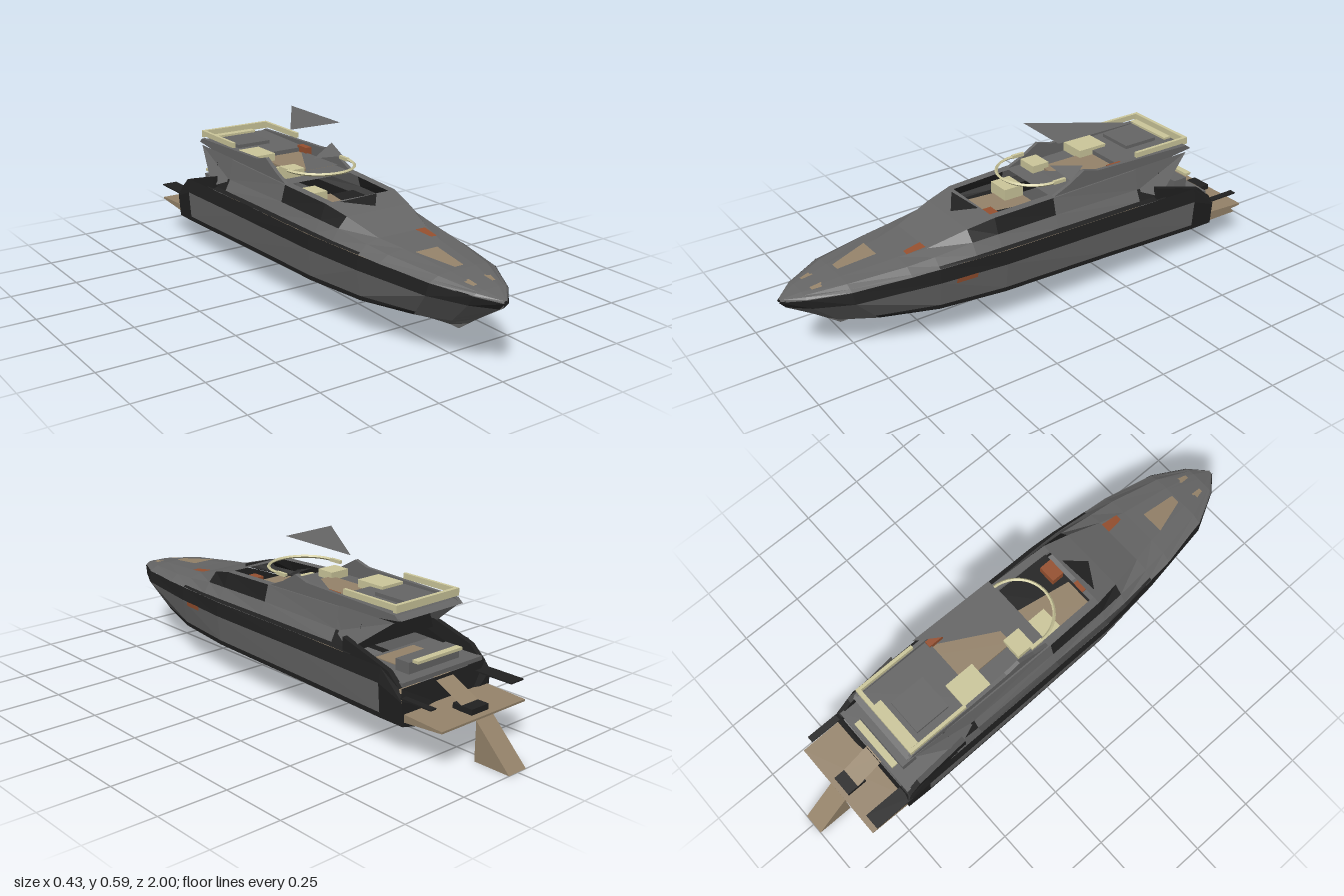
import * as THREE from 'three';

const paint = (name, color) => new THREE.MeshStandardMaterial({ name, color, flatShading: true, side: THREE.DoubleSide });
const grey = paint('grey shell', 0x666666);
const black = paint('black trim', 0x212121);
const tan = paint('tan teak', 0x95836a);
const cream = paint('cream upholstery', 0xccc79b);
const rust = paint('rust wood', 0x96502f);

// Mirrored skin over stations (bow to stern); pick(strip, station) gives the material or null for an opening
function loft(name, stations, pick) {
  const group = new THREE.Group();
  group.name = name;
  const buckets = new Map();
  for (let i = 0; i < stations.length - 1; i++) {
    for (let j = 0; j < stations[i].length - 1; j++) {
      const mat = pick(j, i);
      if (!mat) continue;
      if (!buckets.has(mat)) buckets.set(mat, []);
      const out = buckets.get(mat);
      const a = stations[i][j], b = stations[i + 1][j], c = stations[i][j + 1], d = stations[i + 1][j + 1];
      for (const p of [a, b, c, b, d, c]) out.push(...p);
      for (const p of [a, c, b, b, c, d]) out.push(-p[0], p[1], p[2]);
    }
  }
  for (const [mat, pos] of buckets) {
    const geo = new THREE.BufferGeometry();
    geo.setAttribute('position', new THREE.Float32BufferAttribute(pos, 3));
    geo.computeVertexNormals();
    const mesh = new THREE.Mesh(geo, mat);
    mesh.name = name + ' ' + mat.name;
    group.add(mesh);
  }
  return group;
}

// Flat convex polygon through a few 3D corners
function plate(name, mat, pts) {
  const pos = [];
  for (let i = 1; i < pts.length - 1; i++) pos.push(...pts[0], ...pts[i], ...pts[i + 1]);
  const geo = new THREE.BufferGeometry();
  geo.setAttribute('position', new THREE.Float32BufferAttribute(pos, 3));
  geo.computeVertexNormals();
  const mesh = new THREE.Mesh(geo, mat);
  mesh.name = name;
  return mesh;
}

// Box from its minimum and maximum corners
function box(name, mat, x0, x1, y0, y1, z0, z1) {
  const mesh = new THREE.Mesh(new THREE.BoxGeometry(x1 - x0, y1 - y0, z1 - z0), mat);
  mesh.position.set((x0 + x1) / 2, (y0 + y1) / 2, (z0 + z1) / 2);
  mesh.name = name;
  return mesh;
}

// Side profile of [z, y] points, extruded across x
function prism(name, mat, pts, x0, x1) {
  const shape = new THREE.Shape(pts.map(([z, y]) => new THREE.Vector2(-z, y)));
  const geo = new THREE.ExtrudeGeometry(shape, { depth: x1 - x0, bevelEnabled: false });
  geo.rotateY(Math.PI / 2);
  geo.translate(x0, 0, 0);
  const mesh = new THREE.Mesh(geo, mat);
  mesh.name = name;
  return mesh;
}

export function createModel() {
  const yacht = new THREE.Group();
  yacht.name = 'motor yacht';
  const add = (...m) => yacht.add(...m);

  // Hull: keel flat, chine, knuckle and sheer at each station
  const frames = [
    [[0, .10, .79], [0, .165, .88], [.008, .235, .985], [.008, .255, 1]],
    [[0, .10, .75], [.055, .15, .82], [.078, .243, .92], [.07, .27, .93]],
    [[.02, .098, .66], [.11, .142, .7], [.145, .25, .8], [.135, .285, .8]],
    [[.05, .097, .5], [.17, .135, .5], [.192, .252, .5], [.185, .295, .5]],
    [[.07, .093, .25], [.197, .13, .25], [.213, .252, .25], [.207, .297, .25]],
    [[.08, .085, -.2], [.206, .125, -.2], [.218, .25, -.2], [.21, .295, -.2]],
    [[.085, .071, -.6], [.208, .114, -.6], [.218, .243, -.6], [.21, .288, -.6]],
    [[.085, .085, -.7], [.205, .112, -.7], [.212, .2, -.7], [.205, .235, -.68]],
  ];
  const mix = (a, b, t) => a.map((v, k) => v + (b[k] - v) * t);
  const hull = frames.map(([k, c, n, s]) =>
    [[0, k[1], k[2]], k, mix(k, c, .5), c, mix(c, n, .14), mix(c, n, .94), s]);
  add(loft('hull', hull, (j, i) => {
    if (j < 3) return i >= 4 && i < 6 && j < 2 ? tan : grey;
    if (j === 3) return i >= 2 ? black : grey;
    if (j === 5) return black;
    return i === 6 ? black : grey;
  }));
  add(plate('transom', black, [[-.085, .085, -.7], [.085, .085, -.7], [.205, .112, -.7],
    [.212, .2, -.7], [.2, .235, -.685], [-.2, .235, -.685], [-.212, .2, -.7], [-.205, .112, -.7]]));

  // Foredeck, cabin walls and roof: deck edge, wall foot, shoulder, roof edge, rim, centre
  const deck = (z, e, ye, f, s, ys, r, yr) =>
    [[e, ye, z], [f, ye + .006, z], [s, ys, z], [r, yr, z], [r * .8, yr, z], [0, yr, z]];
  const cabin = [
    deck(.995, .008, .257, .006, .004, .262, .002, .262),
    deck(.93, .068, .272, .06, .05, .28, .03, .283),
    deck(.8, .133, .286, .12, .1, .302, .05, .306),
    deck(.6, .175, .294, .165, .14, .318, .075, .325),
    deck(.5, .184, .296, .175, .15, .326, .10, .337),
    deck(.36, .2, .298, .188, .163, .342, .13, .378),
    deck(.26, .206, .298, .19, .168, .345, .148, .4),
    deck(.02, .209, .297, .19, .172, .348, .156, .408),
    deck(-.35, .21, .294, .19, .17, .34, .155, .415),
    deck(-.46, .21, .291, .185, .165, .335, .15, .418),
  ];
  add(loft('cabin', cabin, (j, i) => {
    if (j >= 4 && i === 6) return null;
    if (j === 0 && i >= 4) return black;
    if (j === 1 && i === 8) return black;
    if (j === 2 && (i === 5 || i === 6)) return black;
    return grey;
  }));
  add(plate('saloon door', black, [[-.185, .297, -.46], [.185, .297, -.46], [.15, .417, -.46], [-.15, .417, -.46]]));

  // Helm well
  add(box('helm floor dark', black, -.14, .14, .335, .34, .02, .26));
  add(plate('helm floor teak', tan, [[-.12, .343, .25], [.0, .343, .25], [.04, .343, .02], [-.1, .343, .02]]));
  add(box('helm seat', cream, -.12, -.03, .34, .385, .02, .1));
  add(box('helm locker', rust, .03, .1, .34, .375, .2, .25));
  add(plate('windscreen cap', black, [[-.1, .403, .28], [.06, .403, .27], [0, .388, .345]]));

  // Cream rim curving round the helm
  const rim = new THREE.Mesh(new THREE.TorusGeometry(.13, .006, 4, 20, Math.PI), cream);
  rim.rotation.x = Math.PI / 2;
  rim.position.set(0, .452, 0);
  rim.name = 'helm rim';
  add(rim);
  for (const s of [-1, 1]) {
    add(box('rim side', cream, s * .13 - .006, s * .13 + .006, .446, .458, -.05, 0));
    // Flybridge coaming
    add(prism('flybridge coaming', grey, [[.02, .405], [-.05, .435], [-.12, .475], [-.18, .458], [-.6, .446], [-.62, .43], [-.45, .41]],
      s * .143 - .007, s * .143 + .007));
    // Aft bulwark
    add(prism('aft bulwark', black, [[-.42, .29], [-.42, .34], [-.52, .312], [-.63, .28], [-.68, .235], [-.62, .23]],
      s * .195 - .01, s * .195 + .01));
    // Overhang support
    add(plate('overhang wing', grey, [[s * .17, .335, -.35], [s * .2, .298, -.44], [s * .15, .42, -.6], [s * .155, .42, -.35]]));
  }

  // Flybridge deck, floor and furniture
  add(prism('flybridge overhang', grey, [[-.3, .416], [-.3, .436], [-.6, .442], [-.625, .43], [-.5, .414]], -.145, .145));
  add(box('flybridge teak', tan, -.06, .12, .412, .42, -.37, -.08));
  add(plate('flybridge grey mat', grey, [[-.02, .423, -.05], [.12, .423, -.05], [.12, .423, -.3]]));
  add(box('sun lounge', cream, -.145, -.035, .414, .448, -.36, -.24));
  add(box('bar cabinet', rust, .11, .135, .414, .445, -.31, -.25));
  add(box('forward settee', cream, -.12, -.04, .412, .44, -.1, -.03));
  add(box('aft table', grey, -.1, .04, .442, .455, -.54, -.4));
  add(plate('wind deflector', grey, [[.02, .46, -.06], [.15, .45, -.06], [.14, .49, -.12]]));

  // Cream aft rail
  add(box('aft rail', cream, -.148, .148, .452, .478, -.605, -.59));
  add(box('aft rail bench', cream, -.13, .07, .45, .458, -.59, -.56));
  for (const s of [-1, 1]) add(box('side rail', cream, s * .142 - .006, s * .142 + .006, .458, .478, -.6, -.36));

  // Flat sunshade
  add(plate('sunshade', grey, [[-.1, .59, -.03], [.115, .588, -.03], [.12, .588, -.365]]));

  // Cockpit with sofa
  add(box('cockpit floor', grey, -.19, .19, .235, .25, -.68, -.44));
  add(box('cockpit sofa', grey, -.12, .12, .25, .29, -.64, -.58));
  add(box('sofa cushion', cream, -.1, .11, .29, .3, -.67, -.645));
  add(box('cockpit teak', tan, -.09, .09, .25, .253, -.57, -.46));

  // Swim platform, stair and stern wedge
  add(prism('swim platform', tan, [[-.68, .125], [-.68, .155], [-.86, .147], [-.86, .14]], -.2, .2));
  add(plate('stern stair', tan, [[-.04, .256, -.62], [.04, .256, -.62], [.04, .158, -.82], [-.04, .158, -.82]]));
  add(box('platform hatch', black, -.04, .04, .15, .17, -.84, -.76));
  add(box('side boarding plate', black, -.212, -.15, .205, .21, -.84, -.66));
  add(box('right boarding strip', black, .185, .21, .205, .21, -.82, -.66));
  add(prism('stern wedge', tan, [[-.86, 0], [-.86, .14], [-1, 0]], -.041, .041));

  // Keel fin and underwater fittings
  add(prism('keel fin', tan, [[-.06, .1], [-.06, .042], [-.3, .042], [-.22, .1]], -.032, .032));
  add(prism('bow thruster', rust, [[.38, .1], [.28, .07], [.28, .1]], 0, .05));

  // Foredeck hatches and small fittings
  add(plate('foredeck hatch', tan, [[-.07, .328, .65], [.02, .328, .65], [.01, .312, .79], [-.025, .312, .79]]));
  add(plate('deck locker', rust, [[.05, .338, .5], [.09, .338, .5], [.085, .33, .57], [.06, .331, .57]]));
  for (const s of [-1, 1]) add(plate('bow cleat pad', tan,
    [[s * .03, .296, .86], [s * .055, .294, .86], [s * .045, .289, .9], [s * .03, .291, .9]]));
  add(plate('hull port', rust, [[.204, .235, .45], [.209, .235, .37], [.211, .252, .37], [.206, .252, .45]]));
  return yacht;
}
